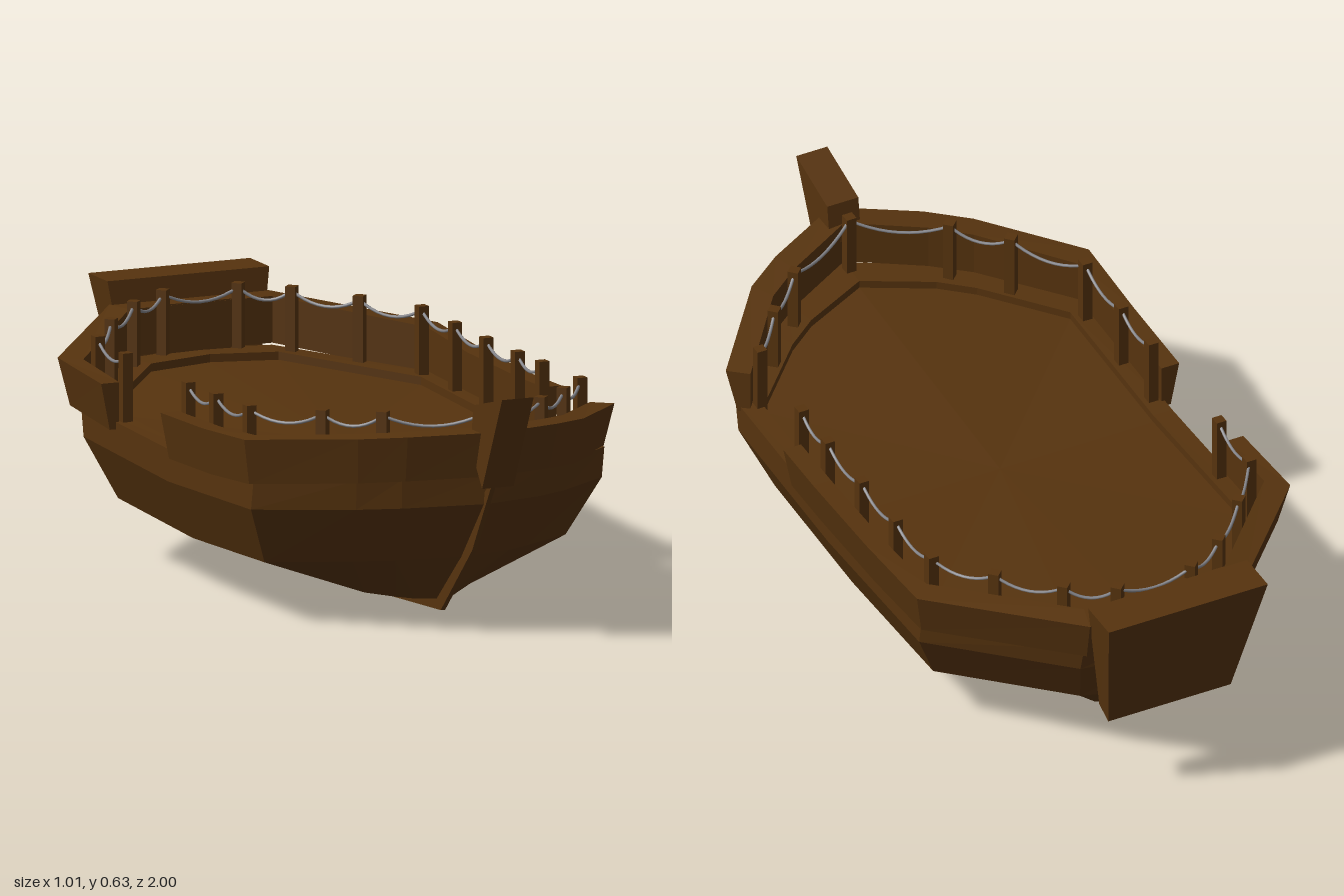
import * as THREE from 'three';

const wood = new THREE.MeshStandardMaterial({ color: 0x56330e });
wood.name = 'dark wood';
wood.flatShading = true;
const rope = new THREE.MeshStandardMaterial({ color: 0x85858a });
rope.name = 'grey rope';

// Collects quads and fans into a flat-shaded geometry
function surface(build) {
  const pos = [];
  const tri = (...p) => p.forEach((v) => pos.push(...v));
  const quad = (a, b, c, d) => { tri(a, b, c); tri(a, c, d); };
  build(tri, quad);
  const g = new THREE.BufferGeometry();
  g.setAttribute('position', new THREE.Float32BufferAttribute(pos, 3));
  g.computeVertexNormals();
  return g;
}

// Joins neighbouring rows of points
function skin(rows, quad, closed) {
  for (let j = 0; j + 1 < rows.length; j++) {
    const a = rows[j], b = rows[j + 1], n = a.length;
    for (let i = 0; i < (closed ? n : n - 1); i++) {
      const k = (i + 1) % n;
      quad(a[i], a[k], b[k], b[i]);
    }
  }
}

// Half outline from bow to stern, mirrored into a full ring with a rising sheer
function ring(half, y, rise) {
  const mirrored = half.slice(1, -1).reverse().map(([x, z]) => [-x, z]);
  return [...half, ...mirrored].map(([x, z]) => [x, y + rise * z * z, z]);
}

function hullGeometry() {
  const bottom = ring([[0, 0.55], [0.05, 0.52], [0.08, 0.47], [0.12, 0.38], [0.12, 0],
    [0.12, -0.42], [0.05, -0.6], [0, -0.63]], 0.042, 0.04);
  const chine = ring([[0, 0.69], [0.15, 0.62], [0.23, 0.55], [0.4, 0.41], [0.4, 0],
    [0.4, -0.43], [0.15, -0.72], [0, -0.78]], 0.135, 0.1);
  const belt = ring([[0, 0.82], [0.185, 0.735], [0.275, 0.665], [0.466, 0.475], [0.466, 0],
    [0.466, -0.485], [0.19, -0.8], [0, -0.84]], 0.28, 0.085);
  const sheer = ring([[0, 0.83], [0.19, 0.745], [0.28, 0.68], [0.466, 0.49], [0.466, 0],
    [0.466, -0.5], [0.19, -0.82], [0, -0.85]], 0.36, 0.07);
  const ledge = sheer.map(([x, y, z]) => [x * 0.89, y, z * 0.9]);
  const deck = ledge.map(([x, y, z]) => [x, y - 0.02, z]);
  return surface((tri, quad) => {
    skin([bottom, chine, belt, sheer, ledge, deck], quad, true);
    deck.forEach((p, i) => {
      const k = (i + 1) % deck.length;
      tri([0, 0.34, 0], p, deck[k]);
      tri([0, 0.042, 0], bottom[k], bottom[i]);
    });
  });
}

// Flared bulwark along an outer plan path, closed at both ends
function bulwarkGeometry(path) {
  const row = (sx, sz, drop) => path.map(([x, z]) =>
    [x * sx, 0.46 + 0.085 * z * z - drop, Math.abs(z) > 0.47 ? z * sz : z]);
  const rows = [row(0.955, 0.96, 0.115), row(1, 1, 0), row(0.905, 0.92, 0), row(0.905, 0.92, 0.115)];
  const end = path.length - 1;
  return surface((tri, quad) => {
    skin([...rows, rows[0]], quad, false);
    quad(...rows.map((r) => r[0]));
    quad(...rows.map((r) => r[end]).reverse());
  });
}

// Side profile in (z, y), extruded across x
function profileGeometry(points, width) {
  const shape = new THREE.Shape(points.map(([z, y]) => new THREE.Vector2(-z, y)));
  const g = new THREE.ExtrudeGeometry(shape, { depth: width, bevelEnabled: false });
  return g.translate(0, 0, -width / 2).rotateY(Math.PI / 2);
}

export function createModel() {
  const model = new THREE.Group();
  model.name = 'boat';
  const add = (name, geometry, material = wood) => {
    const mesh = new THREE.Mesh(geometry, material);
    mesh.name = name;
    model.add(mesh);
    return mesh;
  };

  add('hullAndDeck', hullGeometry());

  // Thin keel running up into stem and sternpost
  add('keel', profileGeometry([[0.88, 0.42], [0.83, 0.34], [0.75, 0.21], [0.57, 0.03], [0.1, 0],
    [-0.2, 0], [-0.65, 0.03], [-0.78, 0.14], [-0.85, 0.25], [-0.87, 0.4],
    [-0.8, 0.33], [0.78, 0.33]], 0.012));

  // Bulwarks leave a boarding gap on each side
  add('bowBulwark', bulwarkGeometry([[-0.505, 0.04], [-0.505, 0.28], [-0.505, 0.52], [-0.3, 0.73],
    [-0.2, 0.8], [0, 0.9], [0.2, 0.8], [0.3, 0.73], [0.495, 0.485]]));
  add('sternBulwark', bulwarkGeometry([[0.505, 0.16], [0.505, 0], [0.505, -0.28], [0.505, -0.55],
    [0.21, -0.89], [-0.21, -0.89], [-0.505, -0.55], [-0.505, -0.3]]));

  // Bow block, tapered stern board and its inner support
  add('stemBlock', profileGeometry([[1, 0.63], [0.835, 0.587], [0.82, 0.48], [0.885, 0.39]], 0.084));
  const board = profileGeometry([[-0.89, 0.585], [-1, 0.585], [-0.9, 0.235], [-0.852, 0.255]], 0.43);
  const p = board.attributes.position;
  for (let i = 0; i < p.count; i++) if (p.getY(i) < 0.4) p.setX(i, p.getX(i) * 0.77);
  board.computeVertexNormals();
  add('sternBoard', board);
  add('sternSupport', new THREE.BoxGeometry(0.2, 0.17, 0.05).translate(0, 0.445, -0.845));

  // Posts with ropes sagging between them
  const lines = [
    [[-0.44, 0.06], [-0.44, 0.22], [-0.44, 0.41], [-0.32, 0.57], [-0.21, 0.68], [0, 0.8],
      [0.21, 0.68], [0.32, 0.57], [0.42, 0.45]],
    [[0.435, 0.2], [0.435, 0.06], [0.435, -0.12], [0.435, -0.3], [0.43, -0.48], [0.33, -0.62],
      [0.21, -0.75], [0.1, -0.82], [-0.1, -0.82], [-0.21, -0.75], [-0.33, -0.62],
      [-0.43, -0.48], [-0.44, -0.3]],
  ];
  for (const line of lines) {
    const tops = line.map(([x, z]) => new THREE.Vector3(x, 0.535 + 0.05 * z * z, z));
    tops.forEach((top, i) => {
      const base = 0.345 + 0.07 * top.z * top.z;
      const post = add('railPost', new THREE.BoxGeometry(0.026, top.y - base, 0.026));
      post.position.set(top.x, (top.y + base) / 2, top.z);
      if (Math.abs(top.z) > 0.5 && top.x) post.rotation.y = Math.PI / 4;
      if (!i) return;
      const a = tops[i - 1].clone(), b = top.clone();
      a.y -= 0.012;
      b.y -= 0.012;
      const mid = a.clone().lerp(b, 0.5);
      mid.y -= 0.055;
      add('railRope', new THREE.TubeGeometry(new THREE.QuadraticBezierCurve3(a, mid, b), 10, 0.004, 6), rope);
    });
  }
  return model;
}
